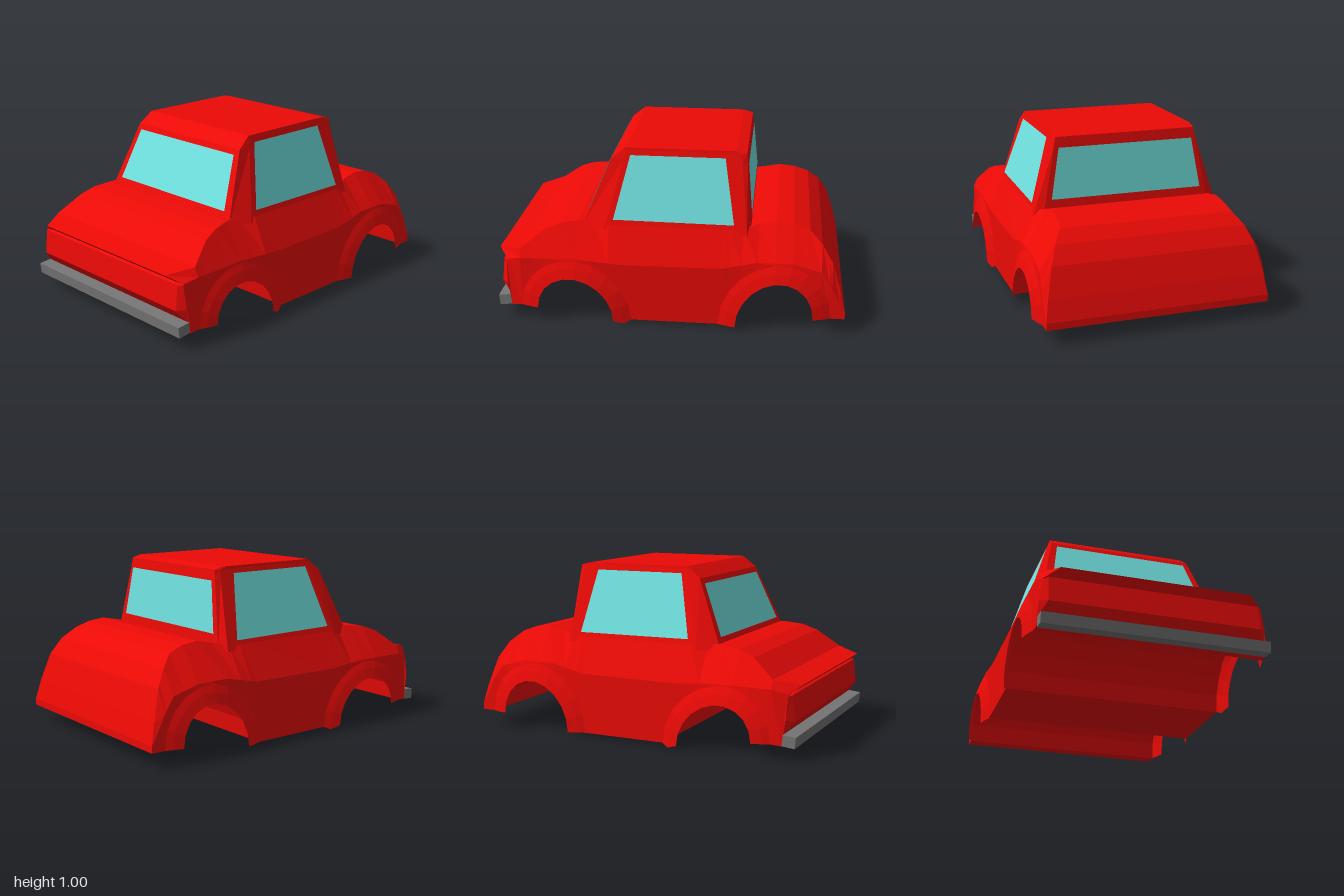
import * as THREE from 'three';

const red = { color: 0xec0a06, flatShading: true };
const paint = new THREE.MeshStandardMaterial(red);
const thinPaint = new THREE.MeshStandardMaterial({ ...red, side: THREE.DoubleSide });
const glass = new THREE.MeshStandardMaterial({ color: 0x70e2e0, flatShading: true, side: THREE.DoubleSide });
const bumperGrey = new THREE.MeshStandardMaterial({ color: 0x757575, flatShading: true });

// Surface over equal rows of [z, y, x] points; skip(rowA, rowB, j) leaves a quad open
function skin(rows, closed, skip = () => false) {
  const n = rows[0].length, index = [];
  const pos = rows.flat().flatMap(([z, y, x]) => [x, y, z]);
  for (let i = 0; i < rows.length - 1; i++) {
    for (let j = 0; j < (closed ? n : n - 1); j++) {
      if (skip(rows[i], rows[i + 1], j)) continue;
      const a = i * n + j, b = i * n + (j + 1) % n, c = a + n, d = b + n;
      index.push(a, c, b, b, c, d);
    }
  }
  const g = new THREE.BufferGeometry();
  g.setAttribute('position', new THREE.Float32BufferAttribute(pos, 3));
  g.setIndex(index);
  g.computeVertexNormals();
  return g;
}

// Half section completed to a ring by mirroring in x
const mirrored = half => [...half, ...[...half].reverse().map(([z, y, x]) => [z, y, -x])];

// Point on a [z, y, x] line (z falling) at a given z
function at(line, z) {
  let i = 0;
  while (i < line.length - 2 && z < line[i + 1][0]) i++;
  const [p, q] = [line[i], line[i + 1]];
  const t = THREE.MathUtils.clamp((p[0] - z) / (p[0] - q[0]), 0, 1);
  return [z, p[1] + (q[1] - p[1]) * t, p[2] + (q[2] - p[2]) * t];
}

// Upper edge of hood, waist and trunk
const topLine = [
  [0.86, 0.43, 0.61], [0.73, 0.53, 0.555], [0.64, 0.565, 0.535], [0.54, 0.578, 0.513], [0.44, 0.58, 0.505],
  [0.35, 0.57, 0.55], [-0.34, 0.57, 0.55], [-0.412, 0.57, 0.535], [-0.5, 0.592, 0.49], [-0.6, 0.612, 0.49],
  [-0.7, 0.602, 0.49], [-0.788, 0.57, 0.5], [-0.86, 0.505, 0.548], [-0.92, 0.41, 0.585], [-0.97, 0.25, 0.62],
  [-1, 0.13, 0.64],
];
// Shoulder crease along the flank
const shoulderLine = [
  [0.86, 0.38, 0.635], [0.54, 0.385, 0.637], [0.28, 0.365, 0.64], [-0.3, 0.37, 0.64], [-0.5, 0.415, 0.635],
  [-0.7, 0.415, 0.635], [-0.86, 0.37, 0.635], [-0.92, 0.28, 0.64], [-1, 0.12, 0.64],
];

// Wheel arches: centre, opening height, bottom heights at both ends, dip of the flare's rear tip
const arches = [
  { c: 0.54, ry: 0.22, front: 0.085, back: 0.02, dip: 0.02 },
  { c: -0.6, ry: 0.245, front: 0.02, back: 0.09, dip: 0 },
];
// Points along an arch, grown outward from the wheel opening
function archLine({ c, ry, front, back }, grow, x, dip = 0) {
  return Array.from({ length: 11 }, (_, i) => {
    const a = Math.PI * i / 10, t = (1 - Math.cos(a)) / 2;
    const base = THREE.MathUtils.lerp(front, back, t) - (i === 10 ? dip : 0);
    return [c + (0.22 + grow) * Math.cos(a), base + (ry + grow) * Math.sin(a), x];
  });
}

function bodyRows() {
  const out = [];
  const station = p => out.push([p, at(shoulderLine, p[0]), at(topLine, p[0])]);
  // Nose: closed bottom, front face, slot and hood lip
  const chin = [0.92, 0.08, 0.635];
  out.push(
    [chin, chin, chin],
    [chin, [0.92, 0.14, 0.63], [0.925, 0.14, 0.62]],
    [chin, [0.94, 0.22, 0.63], [0.98, 0.21, 0.588]],
    [chin, [0.945, 0.345, 0.612], [0.965, 0.353, 0.587]],
    [chin, [0.945, 0.352, 0.61], [0.95, 0.36, 0.535]],
    [chin, [0.94, 0.358, 0.61], [1, 0.4, 0.53]],
  );
  archLine(arches[0], 0.1, 0.64).forEach(station);
  archLine(arches[1], 0.1, 0.64).forEach(station);
  station([-0.97, 0.09, 0.64]);
  station([-1, 0.09, 0.64]);
  out.push(Array(3).fill([-1, 0.09, 0.64]));
  return out.map(mirrored);
}

// Cabin rings from roof to waist: windscreen corner, side front, side rear, rear corner
function cabinRows() {
  const ring = (y, xs, zs) => mirrored(xs.map((x, i) => [zs[i], y, x]));
  const roofX = [0.42, 0.42, 0.42, 0.42], roofZ = [0.27, 0.26, -0.34, -0.36];
  return [
    ring(0.995, [0, 0, 0, 0], roofZ),
    ring(0.995, roofX, roofZ),
    ring(0.98, [0.42, 0.423, 0.423, 0.415], [0.29, 0.265, -0.39, -0.42]),
    ring(0.93, [0.43, 0.437, 0.437, 0.425], [0.352, 0.28, -0.395, -0.425]),
    ring(0.54, [0.51, 0.554, 0.554, 0.5], [0.517, 0.38, -0.435, -0.46]),
  ];
}

// Flat pane from four [x, y, z] corners
function pane(corners) {
  const g = new THREE.BufferGeometry();
  g.setAttribute('position', new THREE.Float32BufferAttribute(corners.flat(), 3));
  g.setIndex([0, 1, 2, 0, 2, 3]);
  g.computeVertexNormals();
  return g;
}

export function createModel() {
  const car = new THREE.Group();
  car.name = 'car';
  const add = (name, geometry, material) => {
    const mesh = new THREE.Mesh(geometry, material);
    mesh.name = name;
    car.add(mesh);
    return mesh;
  };

  // Body shell, open where the cabin sits on it
  const underCabin = (p, q, j) => j === 2 && p[2][0] < 0.45 && q[2][0] > -0.42;
  add('body', skin(bodyRows(), true, underCabin), paint);
  add('cabin', skin(cabinRows(), true), paint);

  // Thin flares reaching from the wheel wells in to the smaller openings
  arches.forEach((arch, k) => {
    const lines = [
      archLine(arch, 0, 0.673), archLine(arch, 0.06, 0.656, arch.dip), archLine(arch, 0.1, 0.64),
    ];
    for (const side of [1, -1]) {
      const rows = lines[0].map((_, i) => lines.map(l => [l[i][0], l[i][1], side * l[i][2]]));
      if (side < 0) rows.reverse();
      add((k ? 'rear' : 'front') + (side > 0 ? 'Left' : 'Right') + 'Flare', skin(rows, false), thinPaint);
    }
  });

  // Windscreen and rear window lie just outside the cabin skin
  const across = (y0, y1, side, zAt) => pane([
    [-0.45 * side, y0, zAt(y0)], [0.45 * side, y0, zAt(y0)],
    [0.4 * side, y1, zAt(y1)], [-0.4 * side, y1, zAt(y1)],
  ]);
  add('windscreen', across(0.61, 0.9, 1, y => 0.513 - 0.423 * (y - 0.56)), glass);
  add('rearWindow', across(0.63, 0.92, -1, y => -0.463 + 0.09 * (y - 0.56)), glass);

  // Side windows
  const outline = [[0.33, 0.6], [-0.36, 0.595], [-0.3, 0.955], [0.24, 0.955]];
  for (const [side, name] of [[1, 'leftWindow'], [-1, 'rightWindow']]) {
    const corners = outline.map(([z, y]) => [side * (0.552 - 0.3 * (y - 0.56)), y, z]);
    add(name, pane(side > 0 ? corners : corners.reverse()), glass);
  }

  // Front bumper bar
  const bumper = add('frontBumper', new THREE.BoxGeometry(1.26, 0.062, 0.078), bumperGrey);
  bumper.position.set(0, 0.107, 0.958);
  bumper.rotation.x = 0.1;
  return car;
}
